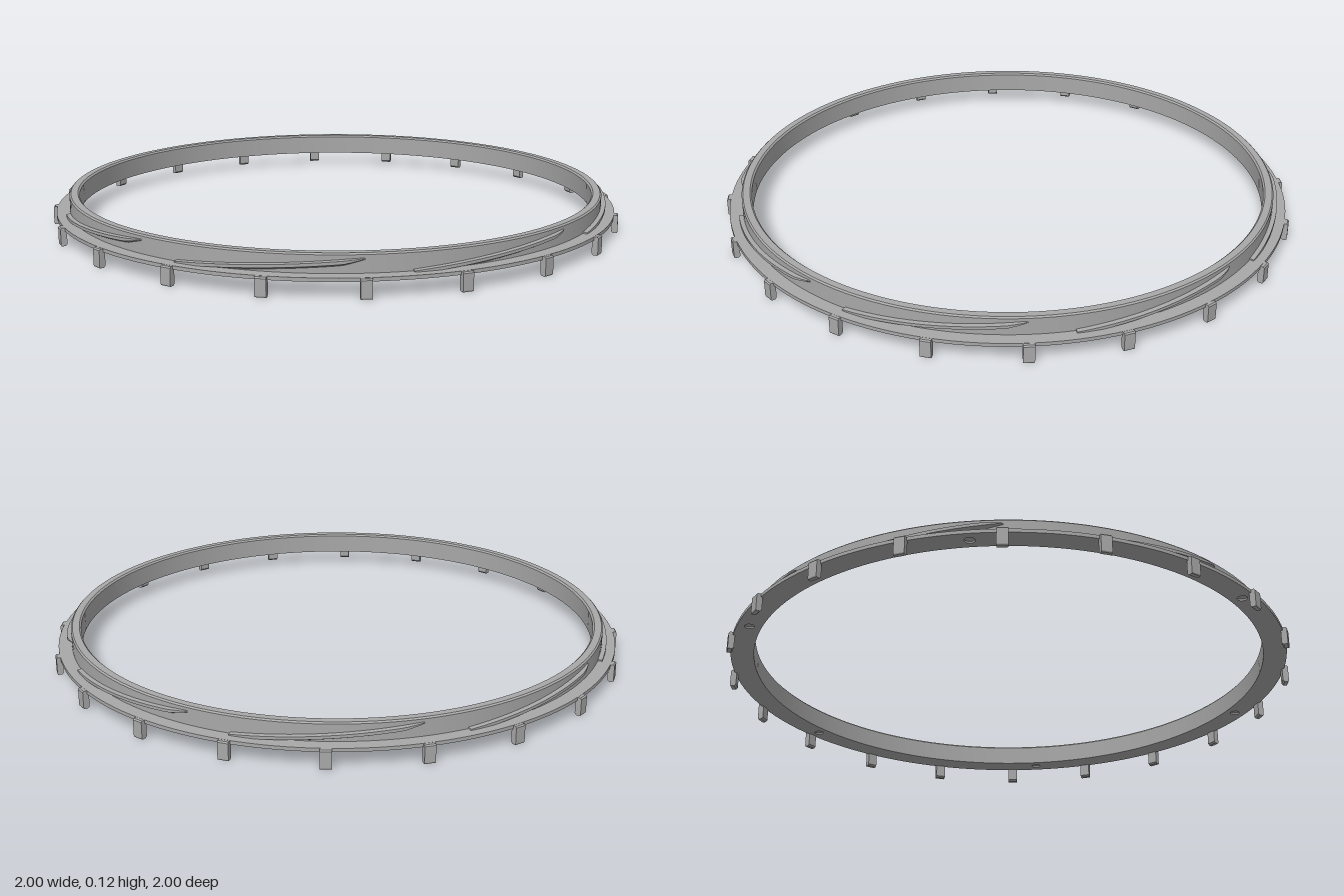
import * as THREE from 'three';
import { toCreasedNormals } from 'three/addons/utils/BufferGeometryUtils.js';

const SEGMENTS = 160;
const FLANGE_TOP = 0.063;

// Helical ridge: a four-cornered section swept round the wall while rising
function threadGeometry() {
  const steps = 36, sweep = THREE.MathUtils.degToRad(36.5);
  const pos = [], idx = [];
  for (let i = 0; i <= steps; i++) {
    const k = i / steps, a = k * sweep;
    const y = 0.069 + 0.043 * k;
    const taper = Math.min(1, (1 - k) / 0.12);
    const outer = 0.938 + 0.017 * Math.sqrt(taper);
    const h = 0.35 + 0.65 * taper;
    const section = [[0.935, y - 0.022 * h], [outer, y - 0.012 * h], [outer, y - 0.002], [0.935, y]];
    for (const [r, py] of section) {
      pos.push(r * Math.sin(a), Math.max(py, FLANGE_TOP - 0.002), r * Math.cos(a));
    }
  }
  for (let i = 0; i < steps; i++) {
    for (let j = 0; j < 4; j++) {
      const a = i * 4 + j, b = i * 4 + (j + 1) % 4;
      idx.push(a, a + 4, b, b, a + 4, b + 4);
    }
  }
  const e = steps * 4;
  idx.push(0, 1, 2, 0, 2, 3, e, e + 2, e + 1, e, e + 3, e + 2);
  const g = new THREE.BufferGeometry();
  g.setAttribute('position', new THREE.Float32BufferAttribute(pos, 3));
  g.setIndex(idx);
  return toCreasedNormals(g, 0.5);
}

export function createModel() {
  const model = new THREE.Group();
  model.name = 'threadedRing';
  const grey = new THREE.MeshStandardMaterial({ color: 0xa8a8a8 });
  grey.name = 'grey';
  grey.side = THREE.DoubleSide;

  const add = (name, geometry, angle = 0) => {
    const mesh = new THREE.Mesh(geometry, grey);
    mesh.name = name;
    mesh.rotation.y = angle;
    model.add(mesh);
    return mesh;
  };

  // Upright collar with the upper half of the flange
  const profile = [
    [0.905, 0.057], [0.986, 0.057], [0.986, FLANGE_TOP], [0.94, FLANGE_TOP],
    [0.94, 0.12], [0.935, 0.125], [0.911, 0.125], [0.905, 0.119], [0.905, 0.057],
  ].map(([r, y]) => new THREE.Vector2(r, y));
  add('collar', toCreasedNormals(new THREE.LatheGeometry(profile, SEGMENTS), 0.5));

  // Lower half of the flange with six blind holes
  const plate = new THREE.Shape().absarc(0, 0, 0.986, 0, Math.PI * 2);
  plate.holes.push(new THREE.Path().absarc(0, 0, 0.905, 0, Math.PI * 2, true));
  for (let i = 0; i < 6; i++) {
    const a = i * Math.PI / 3;
    plate.holes.push(new THREE.Path().absarc(0.945 * Math.sin(a), 0.945 * Math.cos(a), 0.017, 0, Math.PI * 2, true));
  }
  const plateGeometry = new THREE.ExtrudeGeometry(plate, { depth: 0.006, bevelEnabled: false, curveSegments: SEGMENTS / 2 });
  plateGeometry.rotateX(-Math.PI / 2).translate(0, 0.051, 0);
  add('flangeUnderside', toCreasedNormals(plateGeometry, 0.5));

  // Eight rising threads
  const thread = threadGeometry();
  for (let i = 0; i < 8; i++) add('thread', thread, i * Math.PI / 4);

  // Twenty tabs hanging from the rim, bevelled at the lower inner edge
  const tabShape = new THREE.Shape([
    [0.979, 0.006], [0.985, 0], [0.998, 0], [1, 0.004], [1, 0.058], [0.996, 0.0625], [0.979, 0.0625],
  ].map(([r, y]) => new THREE.Vector2(r, y)));
  const tab = new THREE.ExtrudeGeometry(tabShape, { depth: 0.036, bevelEnabled: false });
  tab.translate(0, 0, -0.018).rotateY(-Math.PI / 2);
  for (let i = 0; i < 20; i++) add('tab', tab, i * Math.PI / 10);

  return model;
}
